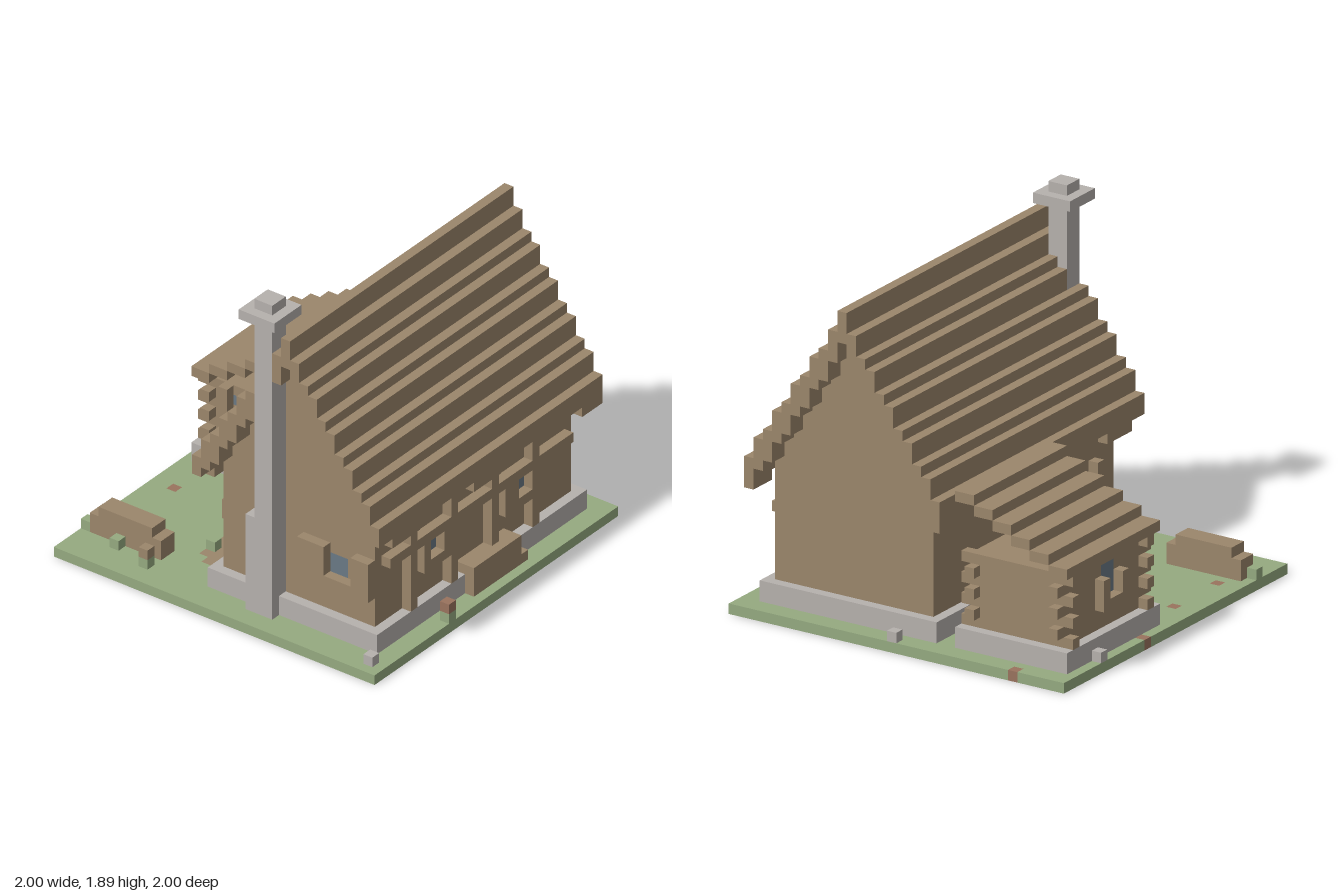
import * as THREE from 'three';

// The cottage is made of cubes on a 36-wide grid; each part is a set of filled boxes.
const N = 36, H = 36, U = 2 / N;

const mat = (name, color) =>
  new THREE.MeshStandardMaterial({ name, color, side: THREE.DoubleSide });

export function createModel() {
  const wood = mat('wood', 0x9b866b);
  const stone = mat('stone', 0xb6b1ad);
  const grass = mat('grass', 0x95aa80);
  const glass = mat('glass', 0x6a7985);
  const clay = mat('clay', 0x9a735e);

  const grid = new Uint8Array(N * H * N);
  const at = (i, j, k) => (j * N + k) * N + i;
  const parts = [null];

  // Fill boxes [x0, x1, y0, y1, z0, z1] (end exclusive) with a new part; later parts replace earlier ones
  function part(name, material, boxes) {
    const id = parts.push({ name, material }) - 1;
    for (const [x0, x1, y0, y1, z0, z1] of boxes)
      for (let j = y0; j < y1; j++)
        for (let k = z0; k < z1; k++)
          for (let i = x0; i < x1; i++) grid[at(i, j, k)] = id;
  }
  const cube = (i, j, k) => [i, i + 1, j, j + 1, k, k + 1];

  // Ground
  part('lawn', grass, [[0, 36, 0, 1, 0, 36]]);
  part('path', wood, [[7, 22, 0, 1, 11, 15], [6, 22, 0, 1, 12, 15]]);
  part('barePatches', clay, [cube(7, 0, 2), cube(14, 0, 2), cube(35, 0, 5), cube(22, 0, 0)]);

  // Stone footings and step
  part('houseFooting', stone, [[3, 34, 1, 3, 15, 34]]);
  part('annexFooting', stone, [[19, 34, 1, 3, 1, 13]]);
  part('doorStep', stone, [[8, 13, 1, 2, 14, 15]]);

  // Main roof: stepped courses from ridge to eaves on both slopes, with gable walls below
  const tops = [31, 29, 27, 26, 24, 23, 21, 20, 18, 17, 15];
  const roof = [], walls = [];
  tops.forEach((top, n) => {
    for (const k of new Set([24 + n, 24 - n])) {
      const bottom = top - (n === 10 ? 2 : 3);
      roof.push([2, 35, bottom, top, k, k + 1]);
      if (n < 9) walls.push([4, 33, 3, bottom, k, k + 1]);
    }
  });
  for (const k of [14, 34])
    for (const [a, b] of [[4, 8], [16, 20], [32, 35]]) roof.push([a, b, 12, 13, k, k + 1]);
  part('houseWalls', wood, walls);
  part('houseRoof', wood, roof);

  // Chimney with wider base and cap
  part('chimney', stone, [
    [2, 4, 1, 34, 21, 23], [2, 4, 1, 11, 20, 23], [1, 5, 32, 33, 20, 24],
  ]);

  // Front timber frame
  const frame = [[5, 32, 9, 10, 33, 34]];
  for (const i of [8, 14, 20, 26]) frame.push([i, i + 1, 3, 13, 33, 34]);
  part('frontTimbers', wood, frame);

  // Front windows
  part('frontGlass', glass, [[11, 13, 7, 9, 32, 33], [24, 26, 7, 9, 32, 33]]);
  part('frontShutters', wood, [
    [10, 14, 6, 7, 33, 34], [10, 11, 7, 9, 33, 34], [13, 14, 7, 9, 33, 34],
    [22, 27, 6, 7, 33, 34], [22, 24, 7, 9, 33, 34], [26, 28, 7, 9, 33, 34],
  ]);

  // Front bench
  part('frontBench', wood, [[16, 23, 1, 4, 33, 35], [23, 24, 1, 2, 33, 35]]);

  // Chimney-side gable window
  part('gableGlass', glass, [[4, 5, 7, 9, 28, 30]]);
  part('gableShutters', wood, [
    [3, 4, 6, 10, 25, 27], [3, 4, 6, 7, 28, 31], [3, 4, 6, 10, 27, 28], [3, 4, 6, 10, 31, 33],
  ]);

  // Back door and window
  part('backDoorGlass', glass, [[9, 11, 5, 6, 16, 17], [9, 11, 9, 10, 16, 17]]);
  part('backDoorFrame', wood, [
    [7, 8, 3, 10, 15, 16], [12, 13, 3, 10, 15, 16],
  ]);
  part('backGlass', glass, [[17, 19, 7, 10, 16, 17]]);
  part('backShutters', wood, [
    [15, 21, 6, 7, 15, 16], [16, 17, 7, 10, 15, 16], [19, 20, 7, 10, 15, 16],
  ]);

  // Annex log walls: log ends stick out alternately along x and z
  const logs = [[20, 33, 3, 10, 2, 12]];
  for (let j = 3; j < 10; j++) {
    if (j % 2) for (const i of [20, 32]) logs.push([i, i + 1, j, j + 1, 1, 13]);
    else for (const k of [2, 11]) logs.push([19, 34, j, j + 1, k, k + 1]);
  }
  part('annexWalls', wood, logs);

  // Annex lean-to roof
  const courses = [];
  for (let n = 0; n < 6; n++) courses.push([19, 34, 10 + n, 11 + n, 1 + 2 * n, 3 + 2 * n]);
  part('annexRoof', wood, courses);

  // Annex window and door
  part('annexGlass', glass, [
    [25, 27, 6, 9, 2, 3], [20, 21, 5, 6, 5, 8], [20, 21, 8, 9, 5, 8],
  ]);
  part('annexTrim', wood, [
    [24, 28, 5, 6, 1, 2], [24, 25, 6, 8, 1, 2], [27, 28, 6, 8, 1, 2],
    [19, 20, 3, 10, 4, 5], [19, 20, 3, 10, 8, 9],
  ]);

  // Yard: log pile, work table, stones, shrubs and flowers
  part('logPile', wood, [[4, 6, 1, 4, 2, 8], [4, 6, 1, 3, 1, 9]]);
  part('workTable', wood, [
    [13, 16, 1, 3, 9, 10], [13, 14, 1, 3, 11, 12], [15, 16, 1, 2, 10, 11],
    [13, 15, 1, 3, 10, 11], cube(14, 4, 10),
  ]);
  part('waterJar', glass, [cube(14, 3, 10)]);
  part('fieldStones', stone, [cube(35, 1, 18), cube(1, 1, 34), cube(29, 1, 0)]);
  part('shrubs', grass, [cube(4, 1, 0), cube(3, 1, 4), cube(8, 1, 11), cube(18, 1, 10), cube(26, 1, 13)]);
  part('stems', grass, [cube(11, 1, 35), cube(2, 1, 8), cube(16, 1, 8)]);
  part('flower', clay, [cube(11, 2, 35)]);
  part('postTops', wood, [cube(2, 2, 8), cube(16, 2, 8)]);

  // Emit only the outer cube faces of each part; the underside stays open
  const data = parts.map(() => ({ pos: [], nor: [], idx: [] }));
  const filled = (c) =>
    c[1] < 0 || (c.every((v, d) => v >= 0 && v < [N, H, N][d]) && grid[at(...c)] > 0);
  for (let j = 0; j < H; j++)
    for (let k = 0; k < N; k++)
      for (let i = 0; i < N; i++) {
        const id = grid[at(i, j, k)];
        if (!id) continue;
        const { pos, nor, idx } = data[id];
        for (let d = 0; d < 3; d++)
          for (const s of [-1, 1]) {
            const next = [i, j, k];
            next[d] += s;
            if (filled(next)) continue;
            const normal = [0, 0, 0];
            normal[d] = s;
            const b = pos.length / 3;
            for (const [u, v] of [[0, 0], [1, 0], [1, 1], [0, 1]]) {
              const p = [i, j, k];
              p[d] += s > 0 ? 1 : 0;
              p[(d + 1) % 3] += u;
              p[(d + 2) % 3] += v;
              pos.push(p[0] * U - 1, p[1] * U, p[2] * U - 1);
              nor.push(...normal);
            }
            if (s > 0) idx.push(b, b + 1, b + 2, b, b + 2, b + 3);
            else idx.push(b, b + 2, b + 1, b, b + 3, b + 2);
          }
      }

  const group = new THREE.Group();
  group.name = 'cottage';
  parts.forEach((p, n) => {
    if (!p || !data[n].idx.length) return;
    const geo = new THREE.BufferGeometry();
    geo.setAttribute('position', new THREE.Float32BufferAttribute(data[n].pos, 3));
    geo.setAttribute('normal', new THREE.Float32BufferAttribute(data[n].nor, 3));
    geo.setIndex(data[n].idx);
    const mesh = new THREE.Mesh(geo, p.material);
    mesh.name = p.name;
    group.add(mesh);
  });
  return group;
}
